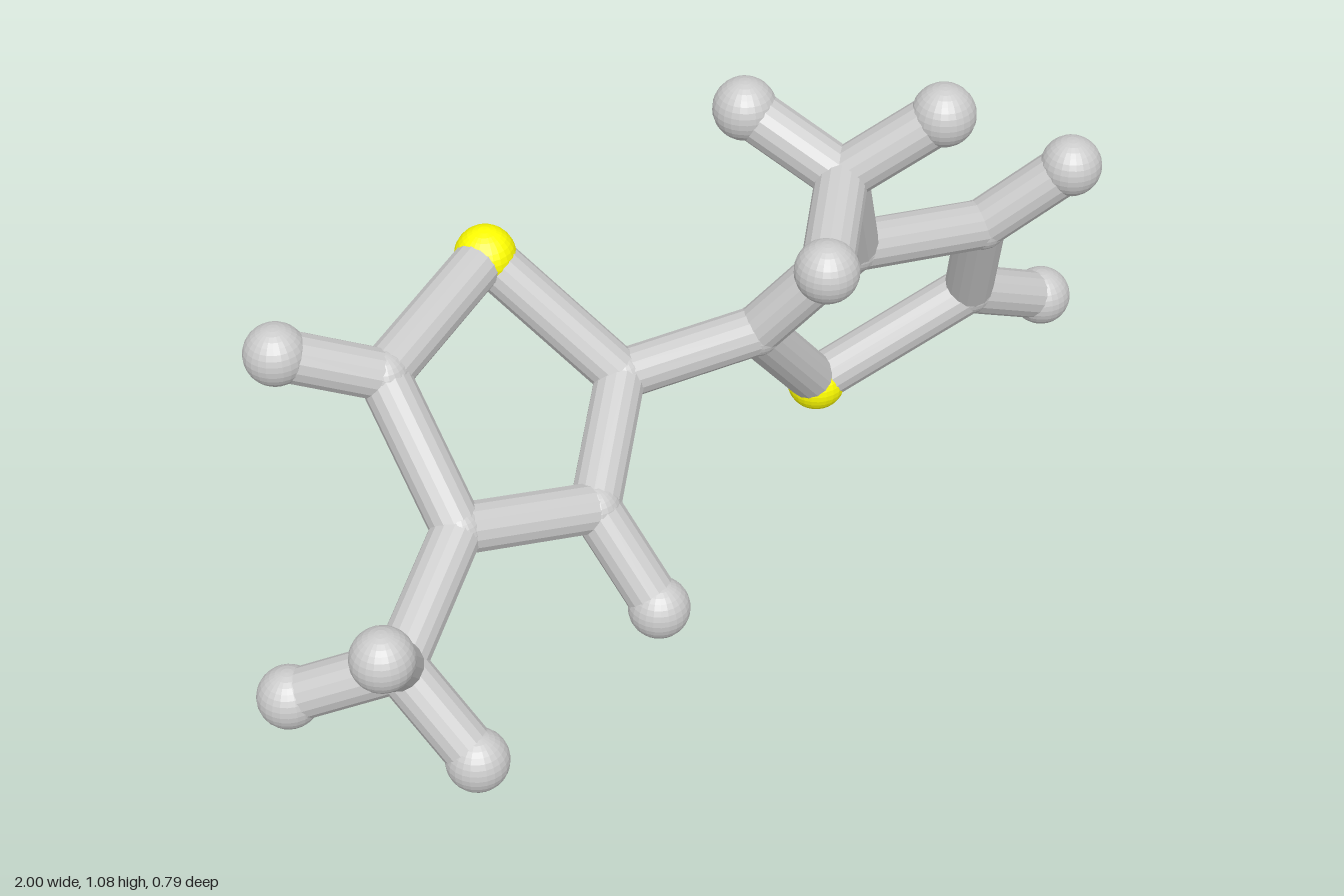
import * as THREE from 'three';

const BALL = 0.061, JOINT = 0.052, BOND = 0.05;

// Atom centres: two five-sided rings, each with a three-pronged side group
const hubs = {
  leftA: [-0.07, 0.383, -0.137], leftB: [-0.26, 0.268, 0.057], leftC: [-0.55, 0.335, 0.03],
  leftD: [-0.573, 0.578, -0.18], leftArm: [-0.78, 0.23, 0.19],
  rightA: [0.227, 0.39, -0.095], rightB: [0.363, 0.62, 0.036], rightC: [0.667, 0.56, 0.055],
  rightD: [0.735, 0.305, -0.053], rightArm: [0.252, 0.887, 0.136],
};
const yellow = {
  leftApex: [-0.248, 0.627, -0.337], rightApex: [0.435, 0.125, -0.168],
};
// End balls, listed under the hub they hang from
const ends = {
  leftB: [[-0.205, 0.085, 0.194]],
  leftD: [[-0.758, 0.664, -0.25]],
  leftArm: [[-0.88, 0.393, 0.316], [-0.942, 0.134, 0.055], [-0.706, 0.065, 0.334]],
  rightC: [[0.805, 0.704, 0.153]],
  rightD: [[0.936, 0.203, -0.055]],
  rightArm: [[0.137, 0.998, -0.018], [0.406, 1.022, 0.237], [0.085, 0.846, 0.317]],
};
// Closed rings and the links between hubs
const rings = [
  ['leftApex', 'leftA', 'leftB', 'leftC', 'leftD'],
  ['rightApex', 'rightA', 'rightB', 'rightC', 'rightD'],
];
const links = [['leftA', 'rightA'], ['leftC', 'leftArm'], ['rightB', 'rightArm']];

export function createModel() {
  const model = new THREE.Group();
  model.name = 'moleculeModel';
  const grey = new THREE.MeshStandardMaterial({ color: 0xcccccc, flatShading: true });
  const gold = new THREE.MeshStandardMaterial({ color: 0xffff00, flatShading: true });
  const ballGeo = new THREE.SphereGeometry(BALL, 24, 16);
  const jointGeo = new THREE.SphereGeometry(JOINT, 24, 16);
  const up = new THREE.Vector3(0, 1, 0);

  const ball = (name, geometry, material, p) => {
    const mesh = new THREE.Mesh(geometry, material);
    mesh.name = name;
    mesh.position.set(...p);
    model.add(mesh);
  };

  // Rod joining two centres
  const rod = (name, p, q) => {
    const a = new THREE.Vector3(...p), b = new THREE.Vector3(...q);
    const dir = b.clone().sub(a);
    const mesh = new THREE.Mesh(new THREE.CylinderGeometry(BOND, BOND, dir.length(), 16), grey);
    mesh.name = name;
    mesh.position.copy(a).add(b).multiplyScalar(0.5);
    mesh.quaternion.setFromUnitVectors(up, dir.normalize());
    model.add(mesh);
  };

  const at = { ...hubs, ...yellow };
  for (const [key, p] of Object.entries(hubs)) ball(`${key}Joint`, jointGeo, grey, p);
  for (const [key, p] of Object.entries(yellow)) ball(`${key}Ball`, ballGeo, gold, p);

  // Ring and link rods
  for (const ring of rings) {
    ring.forEach((key, i) => rod('ringRod', at[key], at[ring[(i + 1) % ring.length]]));
  }
  for (const [a, b] of links) rod('linkRod', at[a], at[b]);

  // End balls with their rods
  for (const [hub, list] of Object.entries(ends)) {
    for (const p of list) {
      ball('endBall', ballGeo, grey, p);
      rod('endRod', at[hub], p);
    }
  }
  return model;
}
